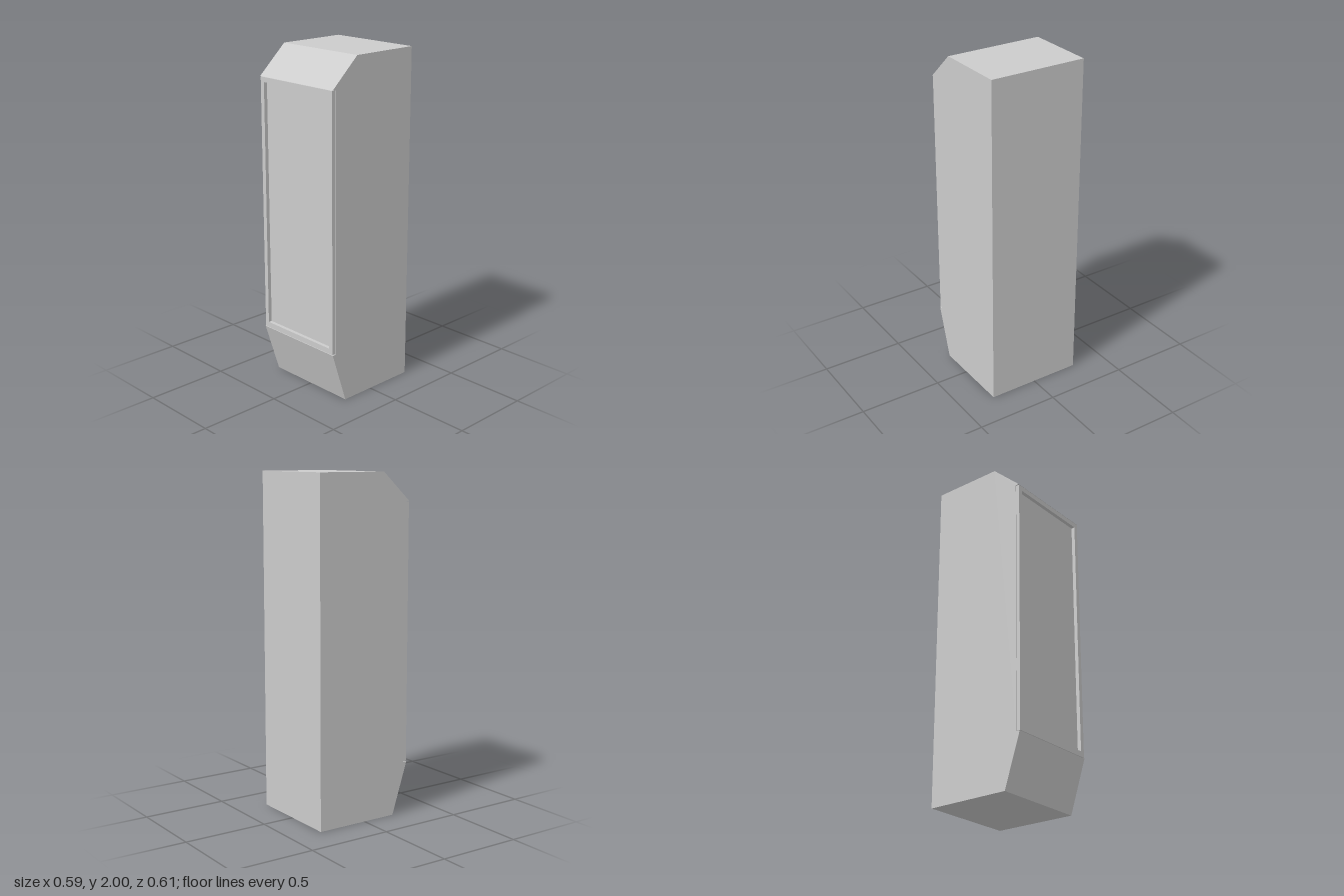
import * as THREE from 'three';

const material = new THREE.MeshStandardMaterial({ color: 0xcccccc, flatShading: true });

const W = 0.293;        // half width of the cabinet
const FRONT = 0.305;    // foremost z
const SEAT = 0.283;     // z of the shallow seat behind the frame
const LOW = 0.31, HIGH = 1.833;

function rectPoints(x, y0, y1) {
  return [[-x, y0], [x, y0], [x, y1], [-x, y1]].map(([a, b]) => new THREE.Vector2(a, b));
}

function extrude(shape, depth, name) {
  const geometry = new THREE.ExtrudeGeometry(shape, { depth, bevelEnabled: false });
  const mesh = new THREE.Mesh(geometry, material);
  mesh.name = name;
  return mesh;
}

export function createModel() {
  const group = new THREE.Group();
  group.name = 'cabinet';

  // Cabinet body: side profile (z, y) with sloped top and base, extruded across x
  const profile = new THREE.Shape([
    [-FRONT, 0], [0.205, 0], [FRONT, LOW], [SEAT, LOW],
    [SEAT, HIGH], [FRONT, HIGH], [0.123, 2], [-FRONT, 2],
  ].map(([z, y]) => new THREE.Vector2(z, y)));
  const body = extrude(profile, 2 * W, 'body');
  body.rotation.y = -Math.PI / 2;
  body.position.x = W;
  group.add(body);

  // Front frame, slightly narrower than the body; its opening shows the recessed panel
  const outline = new THREE.Shape(rectPoints(0.289, LOW + 0.003, HIGH - 0.002));
  outline.holes.push(new THREE.Path(rectPoints(0.262, 0.345, 1.802)));
  const frame = extrude(outline, FRONT - SEAT, 'frontFrame');
  frame.position.z = SEAT;
  group.add(frame);

  return group;
}
